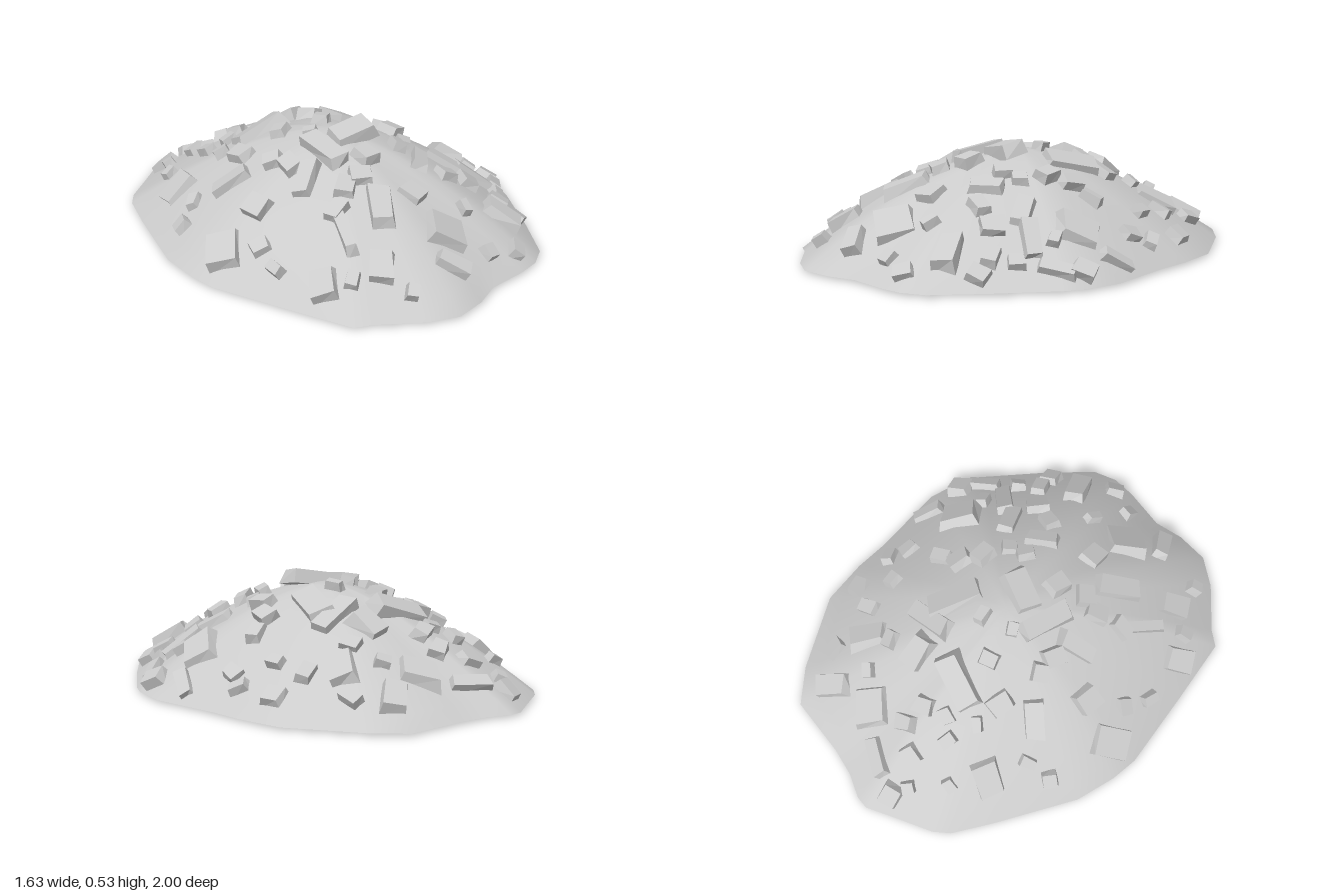
import * as THREE from 'three';

// Footprint of the heap, as x, z pairs running clockwise seen from above
const OUTLINE = [
  [-0.2, -1], [-0.14, -1], [-0.03, -0.96], [0.1, -0.94], [0.38, -0.93], [0.51, -0.8],
  [0.71, -0.5], [0.75, -0.29], [0.76, -0.13], [0.81, 0.2], [0.78, 0.37], [0.74, 0.45],
  [0.56, 0.7], [0.4, 0.9], [0.3, 0.95], [0.19, 0.96], [0, 0.95], [-0.13, 0.99],
  [-0.28, 1], [-0.41, 0.93], [-0.58, 0.78], [-0.65, 0.74], [-0.73, 0.44], [-0.82, 0.08],
  [-0.82, -0.05], [-0.79, -0.24], [-0.63, -0.6], [-0.54, -0.78], [-0.48, -0.84], [-0.32, -0.93],
];
const BASE = 0.01;
const PEAK = 0.465;

// Large slabs: x, z, length, width, turn in degrees
const SLABS = [
  [-0.48, -0.51, 0.18, 0.13, 20], [0.11, -0.7, 0.19, 0.17, 40], [0.32, -0.77, 0.18, 0.11, -45],
  [0.37, -0.51, 0.2, 0.12, -52], [-0.7, 0.03, 0.19, 0.16, -35], [-0.5, 0.04, 0.12, 0.11, 90],
  [-0.43, -0.2, 0.2, 0.09, 35], [-0.1, -0.36, 0.28, 0.13, 15], [0.13, -0.4, 0.18, 0.12, 80],
  [0.2, -0.27, 0.25, 0.1, -10], [0.2, -0.13, 0.27, 0.12, -68], [-0.15, 0.1, 0.25, 0.1, -80],
  [-0.31, 0.15, 0.2, 0.09, -25], [-0.21, 0.49, 0.23, 0.11, -50],
  [-0.03, 0.7, 0.19, 0.17, 40], [0.33, 0.72, 0.21, 0.11, 55], [0.57, 0.2, 0.2, 0.17, -45],
  [0.72, 0.12, 0.16, 0.07, -55], [0.5, 0.41, 0.22, 0.08, 35], [0.38, 0.34, 0.19, 0.09, 55],
  [-0.41, 0.47, 0.24, 0.06, -60], [-0.4, 0.67, 0.15, 0.11, -40], [-0.14, 0.83, 0.16, 0.08, 55],
  [-0.08, -0.82, 0.2, 0.07, 25], [0.18, 0.37, 0.16, 0.08, -40], [0.66, 0.42, 0.17, 0.07, -35],
  [-0.6, 0.53, 0.15, 0.12, -45], [-0.02, 0.5, 0.12, 0.1, 80],
];

// Small stones: x, z
const STONES = [
  [-0.24, -0.88], [-0.27, -0.8], [-0.39, -0.66], [-0.18, -0.71], [-0.07, -0.64], [-0.07, -0.53],
  [-0.25, -0.55], [-0.17, -0.49], [0.24, -0.61], [0.45, -0.65], [-0.54, -0.33], [-0.65, -0.29],
  [-0.29, -0.28], [-0.29, -0.41], [-0.12, -0.2], [0.04, -0.1], [-0.3, -0.06], [-0.29, 0.03],
  [-0.09, -0.04], [0.34, 0.02], [0.43, -0.02], [0.27, -0.45], [0.49, -0.41], [0.63, -0.37],
  [0.51, -0.25], [0.65, -0.17], [0.61, -0.08], [-0.62, 0.17], [-0.65, 0.3], [-0.36, 0.37],
  [-0.25, 0.32], [-0.53, 0.62], [-0.16, 0.33], [-0.05, 0.25], [0.16, 0.25], [0.24, 0.22],
  [0.28, 0.1], [0.25, 0.47], [0.15, 0.65], [0.46, 0.6], [0.48, 0.69], [0.24, 0.88],
  [0.1, 0.84], [0.36, 0.5], [0.54, 0.53], [-0.38, 0.82], [0.72, 0.32], [0.56, 0.33],
];

let seed = 7;
function random(min = 0, max = 1) {
  seed = (seed * 16807) % 2147483647;
  return min + (max - min) * (seed / 2147483647);
}

// 0 at the middle of the footprint, 1 on its edge
function edgeFraction(x, z) {
  for (let i = 0; i < OUTLINE.length; i++) {
    const [ax, az] = OUTLINE[i];
    const [bx, bz] = OUTLINE[(i + 1) % OUTLINE.length];
    const det = ax * bz - az * bx;
    const u = (x * bz - z * bx) / det;
    const v = (ax * z - az * x) / det;
    if (u >= -1e-6 && v >= -1e-6) return u + v;
  }
  return 0;
}

// Domed profile, a little fuller towards the front and the -x side
function groundHeight(x, z) {
  const t = Math.min(1, edgeFraction(x, z));
  const fullness = 1.58 + 0.12 * z - 0.12 * x;
  return BASE + (PEAK - BASE) * (1 - t ** fullness);
}

function groundNormal(x, z) {
  const e = 0.04;
  return new THREE.Vector3(
    groundHeight(x - e, z) - groundHeight(x + e, z), 2 * e,
    groundHeight(x, z - e) - groundHeight(x, z + e),
  ).normalize();
}

// Concentric copies of the outline, joined into a disc
function discGeometry(rings, heightAt, faceUp) {
  const n = OUTLINE.length;
  const positions = [0, heightAt(0, 0), 0];
  const index = [];
  const addFace = (a, b, c) => index.push(...(faceUp ? [a, b, c] : [a, c, b]));
  for (let r = 1; r <= rings; r++) {
    for (let i = 0; i < n; i++) {
      const x = OUTLINE[i][0] * r / rings;
      const z = OUTLINE[i][1] * r / rings;
      positions.push(x, heightAt(x, z), z);
      const j = (i + 1) % n;
      const outer = 1 + (r - 1) * n;
      const inner = outer - n;
      if (r === 1) {
        addFace(0, outer + j, outer + i);
      } else {
        addFace(inner + i, outer + j, outer + i);
        addFace(inner + i, inner + j, outer + j);
      }
    }
  }
  const geometry = new THREE.BufferGeometry();
  geometry.setAttribute('position', new THREE.Float32BufferAttribute(positions, 3));
  geometry.setIndex(index);
  geometry.computeVertexNormals();
  return geometry;
}

// Box with skewed corners and a smaller, slanting flat top, bedded in the slope
function makeRock(name, x, z, length, width, degrees, material) {
  const rise = random(0.03, 0.045);
  const slantX = random(-0.2, 0.2) / length;
  const slantZ = random(-0.2, 0.2) / width;
  const geometry = new THREE.BoxGeometry(1, 1, 1);
  const corners = Array.from({ length: 8 }, (_, k) => {
    const top = k & 2;
    const taper = top ? random(0.75, 0.92) : 1;
    const cx = (k & 1 ? 0.5 : -0.5) * length * taper * random(0.88, 1.1);
    const cz = (k & 4 ? 0.5 : -0.5) * width * taper * random(0.85, 1.12);
    return new THREE.Vector3(cx, top ? rise * (1 + slantX * cx + slantZ * cz) : -0.03, cz);
  });
  const tilt = new THREE.Quaternion().setFromEuler(new THREE.Euler(
    random(-0.12, 0.12), -THREE.MathUtils.degToRad(degrees), random(-0.12, 0.12), 'YXZ'));
  tilt.premultiply(new THREE.Quaternion().setFromUnitVectors(
    new THREE.Vector3(0, 1, 0), groundNormal(x, z)));
  const y = groundHeight(x, z);
  const pos = geometry.attributes.position;
  for (const corner of corners) {
    corner.applyQuaternion(tilt);
    corner.y = Math.max(corner.y, -y); // keep buried corners above the floor
  }
  for (let i = 0; i < pos.count; i++) {
    const k = (pos.getX(i) > 0 ? 1 : 0) + (pos.getY(i) > 0 ? 2 : 0) + (pos.getZ(i) > 0 ? 4 : 0);
    pos.setXYZ(i, corners[k].x, corners[k].y, corners[k].z);
  }
  geometry.computeVertexNormals();
  const rock = new THREE.Mesh(geometry, material);
  rock.name = name;
  rock.position.set(x, y, z);
  return rock;
}

export function createModel() {
  const model = new THREE.Group();
  model.name = 'rubblePile';
  const smooth = new THREE.MeshStandardMaterial({ color: 0xcccccc });
  const faceted = new THREE.MeshStandardMaterial({ color: 0xcccccc, flatShading: true });

  // Earth mound and its flat underside
  const mound = new THREE.Mesh(discGeometry(12, groundHeight, true), smooth);
  mound.name = 'mound';
  const underside = new THREE.Mesh(discGeometry(1, () => BASE, false), smooth);
  underside.name = 'underside';

  // Large slabs
  const slabs = new THREE.Group();
  slabs.name = 'slabs';
  for (const [x, z, length, width, degrees] of SLABS) {
    slabs.add(makeRock('slab', x, z, length, width, degrees, faceted));
  }

  // Topmost slab, tipped up towards +x
  const capstone = makeRock('capstone', 0.02, 0.1, 0.22, 0.13, 15, faceted);
  capstone.rotation.z = 0.28;
  capstone.position.y += 0.015;
  slabs.add(capstone);

  // Small stones in the gaps
  const stones = new THREE.Group();
  stones.name = 'stones';
  for (const [x, z] of STONES) {
    const length = random(0.07, 0.12);
    const width = length * random(0.6, 0.9);
    stones.add(makeRock('stone', x, z, length, width, random(0, 180), faceted));
  }

  model.add(mound, underside, slabs, stones);
  return model;
}
